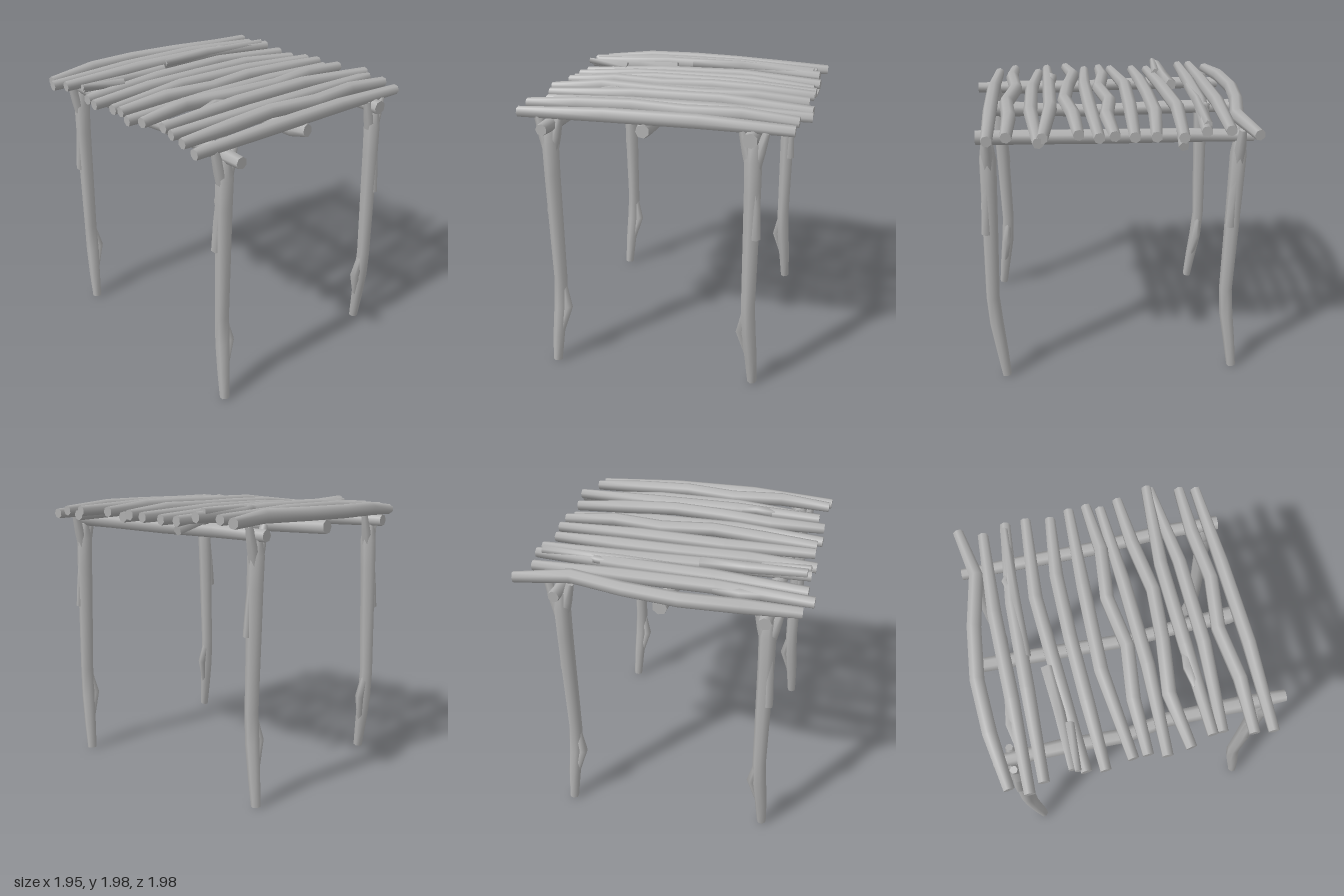
import * as THREE from 'three';

// Rough log lofted along points [x, y, z, radius], with flat sawn ends
function logGeometry(pts, ref, sides) {
  const P = pts.map(p => new THREE.Vector3(p[0], p[1], p[2]));
  const pos = [], idx = [];
  const ring = i => {
    const t = P[Math.min(i + 1, P.length - 1)].clone().sub(P[Math.max(i - 1, 0)]).normalize();
    const u = ref.clone().cross(t).normalize();
    const v = t.clone().cross(u);
    for (let k = 0; k < sides; k++) {
      const a = (k + 0.5) / sides * Math.PI * 2;
      const q = P[i].clone()
        .addScaledVector(u, Math.cos(a) * pts[i][3])
        .addScaledVector(v, Math.sin(a) * pts[i][3]);
      pos.push(q.x, q.y, q.z);
    }
  };
  P.forEach((_, i) => ring(i));
  for (let i = 0; i < P.length - 1; i++) {
    for (let k = 0; k < sides; k++) {
      const a = i * sides + k, b = i * sides + (k + 1) % sides;
      idx.push(a, b, b + sides, a, b + sides, a + sides);
    }
  }
  // Separate end rings keep the cut edges sharp
  for (const [i, flip] of [[0, true], [P.length - 1, false]]) {
    const s = pos.length / 3;
    ring(i);
    for (let k = 1; k < sides - 1; k++) {
      idx.push(s, flip ? s + k + 1 : s + k, flip ? s + k : s + k + 1);
    }
  }
  const g = new THREE.BufferGeometry();
  g.setAttribute('position', new THREE.Float32BufferAttribute(pos, 3));
  g.setIndex(idx);
  g.computeVertexNormals();
  return g;
}

export function createModel() {
  const model = new THREE.Group();
  model.name = 'logPergola';
  const wood = new THREE.MeshStandardMaterial({ color: 0xb0b0b0 });
  wood.name = 'greyWood';
  const UP = new THREE.Vector3(0, 1, 0), FRONT = new THREE.Vector3(0, 0, 1);

  const addLog = (parent, name, pts, ref = UP, sides = 7) => {
    const m = new THREE.Mesh(logGeometry(pts, ref, sides), wood);
    m.name = name;
    parent.add(m);
  };

  // Four bent posts; the right pair is the left pair turned half round
  for (const s of [1, -1]) {
    for (const z of [0.84, -0.83]) {
      const post = new THREE.Group();
      post.name = (z > 0 ? 'front' : 'back') + (s > 0 ? 'Left' : 'Right') + 'Post';
      post.position.set(s > 0 ? 0.65 : -0.72, 0, z);
      const at = (x, y, dz, r) => [s * x, y, s * dz, r];
      addLog(post, 'trunk', [
        at(0.035, 0, -0.045, 0.034), at(0.025, 0.2, -0.02, 0.043), at(0.008, 0.42, 0.01, 0.05),
        at(0, 0.63, 0.025, 0.048), at(0, 1.14, 0.012, 0.053), at(0, 1.45, 0.005, 0.056),
        at(-0.003, 1.66, 0, 0.058), at(0, 1.78, 0, 0.04)], FRONT);
      addLog(post, 'knot', [
        at(0.01, 0.2, -0.02, 0.02), at(-0.05, 0.43, 0.005, 0.035), at(-0.01, 0.63, 0.025, 0.025)], FRONT, 5);
      addLog(post, 'sideStub', [
        at(0.035, 1.14, 0.035, 0.035), at(0.025, 1.35, 0.025, 0.035), at(0.01, 1.6, 0.01, 0.03)], FRONT, 5);
      for (const f of [1, -1]) {
        addLog(post, 'forkProng', [
          at(f * 0.01, 1.6, 0, 0.04), at(f * 0.04, 1.72, 0, 0.038), at(f * 0.075, 1.85, 0, 0.026)], FRONT, 6);
      }
      model.add(post);
    }
  }

  // Three beams running front to back
  addLog(model, 'rightBeam', [
    [-0.71, 1.81, -0.95, 0.043], [-0.71, 1.81, -0.5, 0.052], [-0.73, 1.8, -0.1, 0.048],
    [-0.69, 1.8, 0.2, 0.048], [-0.7, 1.8, 0.7, 0.054], [-0.71, 1.8, 0.99, 0.04]]);
  addLog(model, 'leftBeam', [
    [0.66, 1.79, -0.92, 0.04], [0.65, 1.8, -0.5, 0.048], [0.64, 1.8, 0, 0.05],
    [0.65, 1.81, 0.5, 0.05], [0.635, 1.81, 0.91, 0.05]]);
  addLog(model, 'middleBeam', [
    [-0.04, 1.8, -0.9, 0.05], [-0.06, 1.79, -0.4, 0.05], [-0.08, 1.77, 0.1, 0.048],
    [-0.07, 1.79, 0.5, 0.05], [-0.075, 1.8, 0.78, 0.06], [-0.06, 1.81, 0.89, 0.045]]);

  // Roof poles: right end x, left end x, height, then z at even steps between
  const poles = [
    [-0.92, 0.94, 1.88, [-0.88, -0.93, -0.945, -0.9, -0.82, -0.885]],
    [-0.98, 0.87, 1.89, [-0.76, -0.75, -0.75, -0.72]],
    [-0.93, 0.91, 1.9, [-0.66, -0.64, -0.62, -0.555]],
    [-0.92, 0.93, 1.87, [-0.39, -0.43, -0.46, -0.41]],
    [-0.94, 0.9, 1.87, [-0.27, -0.285, -0.295, -0.29, -0.24]],
    [-0.91, 0.93, 1.88, [-0.085, -0.15, -0.13, -0.1]],
    [-0.91, 0.93, 1.89, [0.01, 0.005, 0.055, 0.005, 0.05, 0.025]],
    [-0.94, 0.9, 1.87, [0.13, 0.155, 0.145, 0.12]],
    [-0.93, 0.92, 1.9, [0.285, 0.235, 0.29, 0.32, 0.27, 0.25]],
    [-0.88, 0.97, 1.9, [0.44, 0.425, 0.42, 0.475]],
    [-0.87, 0.97, 1.87, [0.51, 0.555, 0.555, 0.5]],
    [-0.93, 0.91, 1.89, [0.7, 0.71, 0.67, 0.725, 0.695, 0.7]],
    [-0.94, 0.9, 1.865, [0.83, 0.845, 0.835, 0.82]],
  ];
  const roof = new THREE.Group();
  roof.name = 'roofPoles';
  poles.forEach(([x0, x1, y, zs], n) => {
    const last = zs.length - 1;
    addLog(roof, 'pole' + (n + 1), zs.map((z, i) => {
      const end = i === 0 || i === last;
      return [x0 + (x1 - x0) * i / last, y + (end ? 0 : 0.022), z, end ? 0.037 : 0.049];
    }));
  });

  // Broken side branches and knots on the roof poles
  const addStub = (name, ...pts) => addLog(roof, name, pts, UP, 5);
  addStub('brokenBranch', [-0.9, 1.93, -0.47, 0.03], [-0.5, 1.92, -0.475, 0.04], [-0.2, 1.92, -0.49, 0.045]);
  addStub('brokenBranch', [-0.1, 1.93, -0.6, 0.03], [0.3, 1.935, -0.6, 0.04], [0.86, 1.93, -0.57, 0.03]);
  addStub('brokenBranch', [0.6, 1.89, -0.43, 0.03], [0.92, 1.81, -0.41, 0.035]);
  addStub('brokenBranch', [-0.92, 1.95, -0.44, 0.022], [-0.6, 1.92, -0.43, 0.035]);
  addStub('knot', [-0.75, 1.9, -0.75, 0.03], [-0.52, 1.9, -0.785, 0.042], [-0.35, 1.9, -0.77, 0.03]);
  addStub('knot', [0.35, 1.92, -0.6, 0.03], [0.46, 1.94, -0.635, 0.026], [0.53, 1.92, -0.59, 0.025]);
  addStub('knot', [-0.55, 1.92, 0.42, 0.03], [-0.42, 1.94, 0.395, 0.035], [-0.3, 1.92, 0.41, 0.03]);
  model.add(roof);

  return model;
}
